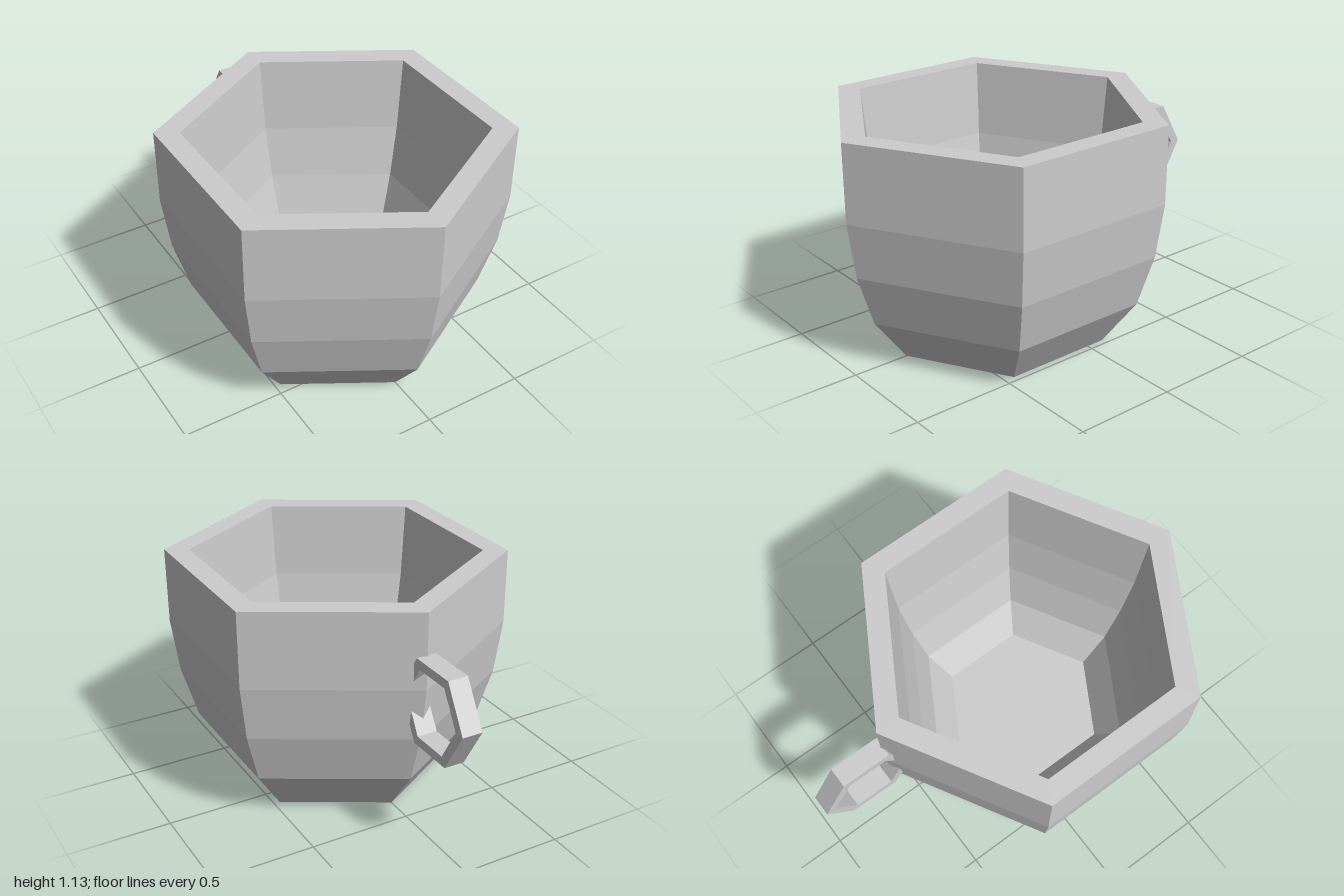
import * as THREE from 'three';

export function createModel() {
  const model = new THREE.Group();
  const ceramic = new THREE.MeshStandardMaterial({ color: 0xcccccc, flatShading: true });
  ceramic.name = 'grey ceramic';

  // Hexagonal cup: outer wall up, over the rim, inner wall down to the floor
  const profile = [
    [0, 0], [0.543, 0], [0.707, 0.225], [0.785, 0.48], [0.821, 0.75], [0.821, 1.127],
    [0.702, 1.127], [0.665, 0.76], [0.61, 0.5], [0.535, 0.27], [0.407, 0.1], [0, 0.1],
  ].map(([r, y]) => new THREE.Vector2(r, y));
  const cup = new THREE.Mesh(new THREE.LatheGeometry(profile, 6), ceramic);
  cup.name = 'cup';
  cup.position.z = 0.178;
  model.add(cup);

  // Hexagonal ring handle, its inner side sunk into the cup wall
  const hexagon = (radius) => Array.from({ length: 6 }, (_, i) => {
    const a = (i * Math.PI) / 3;
    return new THREE.Vector2(radius * Math.cos(a), radius * Math.sin(a));
  });
  const ring = new THREE.Shape(hexagon(0.245));
  ring.holes.push(new THREE.Path(hexagon(0.193)));
  const ringGeometry = new THREE.ExtrudeGeometry(ring, { depth: 0.1, bevelEnabled: false });
  ringGeometry.translate(0, 0, -0.05).rotateY(Math.PI / 2);
  const handle = new THREE.Mesh(ringGeometry, ceramic);
  handle.name = 'handle';
  handle.position.set(0, 0.705, -0.755);
  model.add(handle);

  return model;
}
